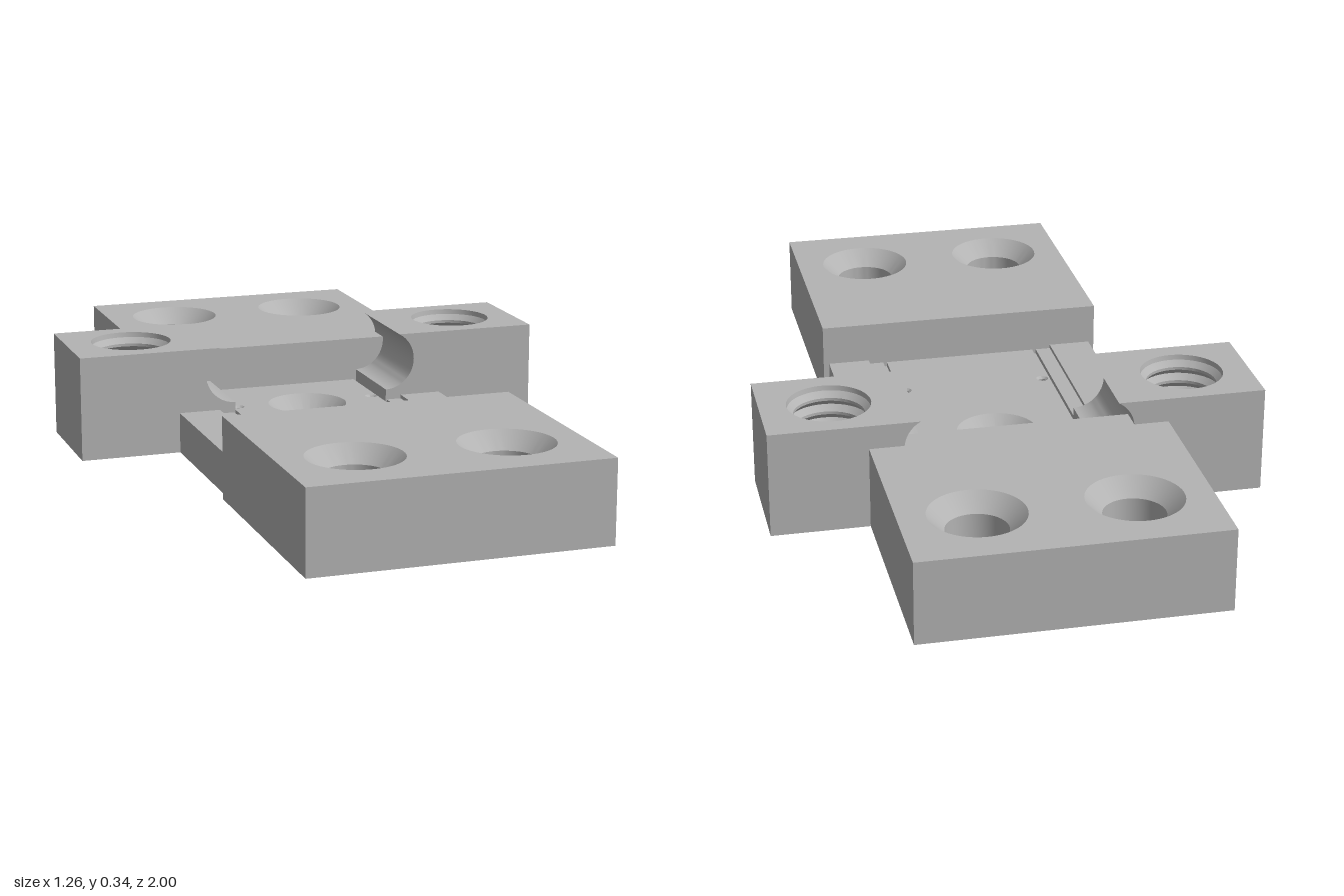
import * as THREE from 'three';
import { toCreasedNormals } from 'three/addons/utils/BufferGeometryUtils.js';

const steel = new THREE.MeshStandardMaterial({ color: 0xb3b3b3 });
steel.name = 'steel grey';

export function createModel() {
  const root = new THREE.Group();
  root.name = 'mountingBlock';

  const add = (name, geometry) => {
    const mesh = new THREE.Mesh(toCreasedNormals(geometry, 0.5), steel);
    mesh.name = name;
    root.add(mesh);
    return mesh;
  };

  // Horizontal rectangular slab with round vertical holes [x, z, radius]
  const slab = (name, x0, x1, z0, z1, y0, y1, holes = []) => {
    const shape = new THREE.Shape();
    shape.moveTo(x0, -z1);
    shape.lineTo(x1, -z1);
    shape.lineTo(x1, -z0);
    shape.lineTo(x0, -z0);
    shape.closePath();
    for (const [x, z, r] of holes) {
      const hole = new THREE.Path();
      hole.absarc(x, -z, r, 0, Math.PI * 2, true);
      shape.holes.push(hole);
    }
    const g = new THREE.ExtrudeGeometry(shape, { depth: y1 - y0, bevelEnabled: false, curveSegments: 24 });
    g.rotateX(-Math.PI / 2);
    g.translate(0, y0, 0);
    return add(name, g);
  };

  // Inner surface of a hole, turned from a [radius, y] profile listed top to bottom
  const bore = (name, x, z, profile) => {
    const g = new THREE.LatheGeometry(profile.map(([r, y]) => new THREE.Vector2(r, y)), 48);
    add(name, g.translate(x, 0, z));
  };
  const countersink = (name, x, z, rTop, rHole, top, bottom) =>
    bore(name, x, z, [[rTop, top], [rHole, top - (rTop - rHole)], [rHole, bottom], [rTop, bottom]]);

  const floor = 0.06;

  // End plates with two countersunk screw holes each
  for (const [name, z0, z1, zHole] of [['frontPlate', 0.345, 1, 0.79], ['backPlate', -1, -0.35, -0.795]]) {
    slab(name, -0.38, 0.38, z0, z1, floor, 0.273, [[-0.19, zHole, 0.12], [0.19, zHole, 0.12]]);
    for (const x of [-0.19, 0.19]) countersink(name + 'Countersink', x, zHole, 0.12, 0.077, 0.273, floor);
  }

  // Low bridge between the plates
  const cornerHoles = [];
  for (const x of [-0.188, 0.188]) for (const z of [-0.157, 0.152]) cornerHoles.push([x, z, 0.016]);
  const panelHoles = [[0, -0.14, 0.105], ...cornerHoles];
  const vent = [0.29, 0, 0.025];
  slab('bridge', -0.365, 0.365, -0.35, 0.345, floor, 0.145, [...panelHoles, vent]);
  slab('centrePanel', -0.205, 0.205, -0.35, 0.345, 0.145, 0.157, panelHoles);
  countersink('centreCountersink', 0, -0.14, 0.105, 0.045, 0.157, floor);
  for (const [x, z, r] of cornerHoles) countersink('cornerHole', x, z, r, 0.01, 0.157, floor);

  for (const side of [-1, 1]) {
    const span = (a, b) => (side > 0 ? [a, b] : [-b, -a]);

    // Rail and raised shelf beside the panel, with a narrow groove between
    slab('rail', ...span(0.215, 0.255), -0.35, 0.345, 0.145, 0.157);
    slab('shelf', ...span(0.255, 0.365), -0.35, 0.345, 0.145, 0.167, side > 0 ? [vent] : []);

    // Outer part of the ear, with a threaded bore
    slab('ear', ...span(0.34, 0.63), -0.412, -0.105, floor, 0.335, [[side * 0.455, -0.26, 0.106]]);
    const thread = [[0.106, 0.335], [0.104, 0.322]];
    const turns = 7;
    const pitch = (0.322 - floor) / turns;
    for (let i = 0; i < turns; i++) {
      const y = 0.322 - i * pitch;
      thread.push([0.09, y - pitch * 0.4], [0.09, y - pitch * 0.6], [0.104, y - pitch]);
    }
    thread.push([0.106, floor]);
    bore('earThread', side * 0.455, -0.26, thread);

    // Inner part of the ear, hollowed by a round channel along z
    const cx = 0.212, cy = 0.265, r = 0.08;
    const a = Math.asin((0.335 - cy) / r);
    const s = new THREE.Shape();
    s.moveTo(side * cx, floor);
    s.lineTo(side * cx, cy - r);
    for (let i = 1; i <= 20; i++) {
      const t = -Math.PI / 2 + (a + Math.PI / 2) * i / 20;
      s.lineTo(side * (cx + r * Math.cos(t)), cy + r * Math.sin(t));
    }
    s.lineTo(side * 0.34, 0.335);
    s.lineTo(side * 0.34, floor);
    s.closePath();
    const g = new THREE.ExtrudeGeometry(s, { depth: 0.307, bevelEnabled: false });
    add('earChannel', g.translate(0, 0, -0.412));
  }

  // Locating pins underneath
  const pin = (name, x, z, r, y0) =>
    add(name, new THREE.CylinderGeometry(r, r, floor - y0, 40).translate(x, (floor + y0) / 2, z));
  pin('centrePin', 0, 0, 0.069, 0);
  pin('dowelPin', -0.295, 0.348, 0.022, 0.015);
  pin('dowelPin', 0.29, -0.308, 0.022, 0.015);

  return root;
}
